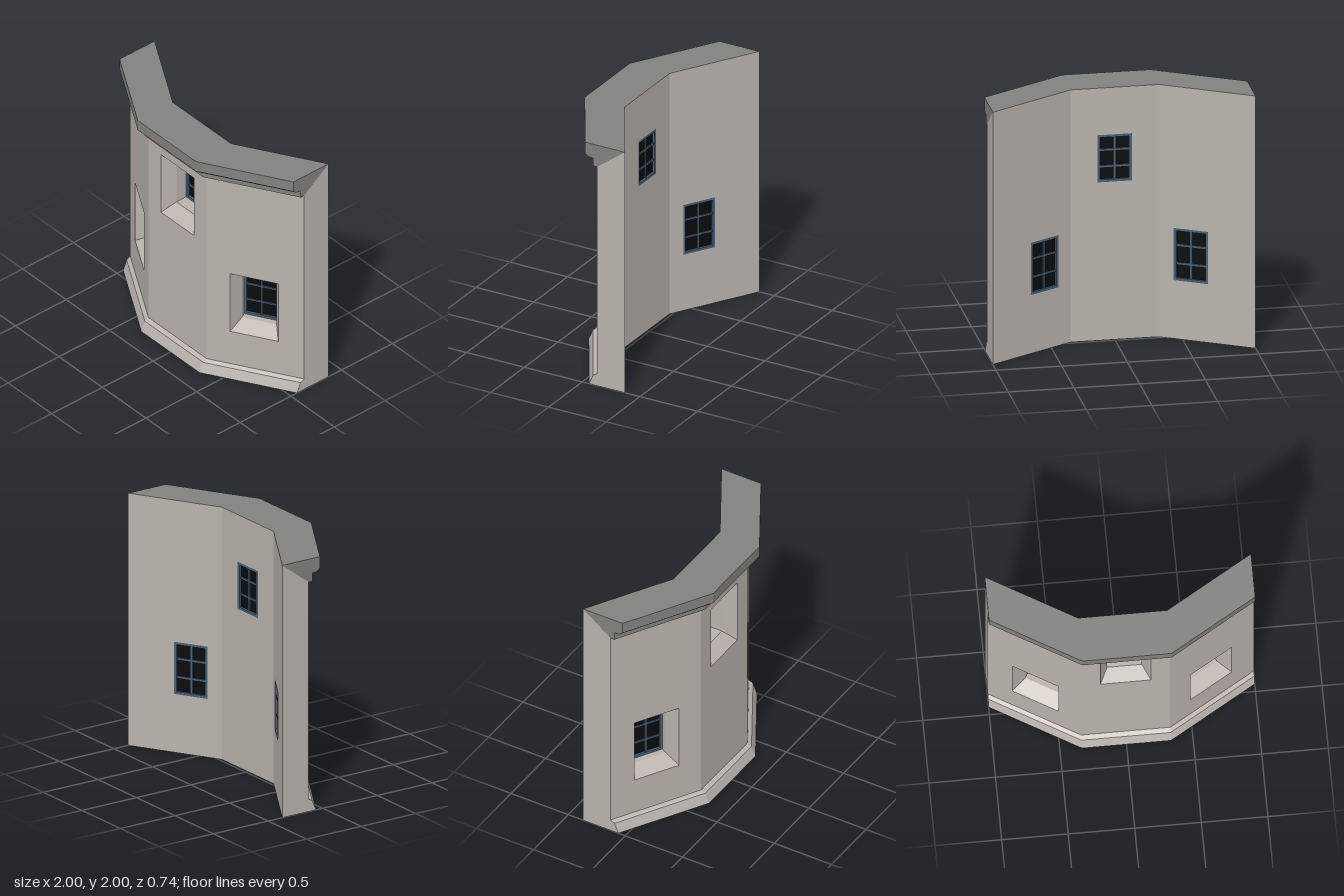
import * as THREE from 'three';

const mat = (name, color) => {
  const m = new THREE.MeshStandardMaterial({ color });
  m.name = name;
  return m;
};

// Plan: three wall panels, the outer two swept back
const KINK = 0.335, DROP = 0.39, FRONT = 0.26, BACK = 0.02;
const STATIONS = [[-1, -DROP], [-KINK, 0], [KINK, 0], [1, -DROP]];
const ANGLE = Math.atan2(DROP, 1 - KINK);

// Flat-shaded geometry from a list of quads; tags choose the material per quad
function quads(list, tags) {
  const pos = [];
  const g = new THREE.BufferGeometry();
  list.forEach(([a, b, c, d], i) => {
    pos.push(...a, ...b, ...c, ...a, ...c, ...d);
    if (tags) g.addGroup(i * 6, 6, tags[i]);
  });
  g.setAttribute('position', new THREE.Float32BufferAttribute(pos, 3));
  g.computeVertexNormals();
  return g;
}

// Sweep a [z, y] profile, listed from top to bottom, along the plan
function sweep(profile) {
  const list = [];
  for (let i = 0; i < STATIONS.length - 1; i++) {
    for (let j = 0; j < profile.length - 1; j++) {
      const p = (s, k) => [STATIONS[s][0], profile[k][1], profile[k][0] + STATIONS[s][1]];
      list.push([p(i, j + 1), p(i + 1, j + 1), p(i + 1, j), p(i, j)]);
    }
  }
  return quads(list);
}

// Flat end face at x = side, from a closed [z, y] profile
function endCap(profile, side) {
  const pts = profile.map(([z, y]) => new THREE.Vector2(-side * z, y));
  const g = new THREE.ShapeGeometry(new THREE.Shape(pts));
  g.rotateY(side * Math.PI / 2);
  return g.translate(side, 0, -DROP);
}

const rect = (cx, cy, hw, hh) =>
  [[cx - hw, cy - hh], [cx + hw, cy - hh], [cx + hw, cy + hh], [cx - hw, cy + hh]];
const toVec = pts => pts.map(p => new THREE.Vector2(...p));

// Inward-facing sides of an opening between two rectangles
function reveal(a, za, b, zb, topTag) {
  const list = a.map((_, i) => {
    const n = (i + 1) % 4;
    return [[...a[i], za], [...a[n], za], [...b[n], zb], [...b[i], zb]];
  });
  return quads(list, [0, 0, topTag, 0]);
}

export function createModel() {
  const stone = mat('pale stone', 0xbab3ad);
  const trim = mat('grey cornice', 0x81827f);
  const blue = mat('blue frame', 0x46627c);
  const black = mat('dark glass', 0x0b0b0b);
  const model = new THREE.Group();
  model.name = 'wallSection';

  const add = (parent, name, geometry, material) => {
    const m = new THREE.Mesh(geometry, material);
    m.name = name;
    parent.add(m);
    return m;
  };

  // Plinth and cornice
  const plinth = [[FRONT, 0.098], [0.295, 0.08], [0.33, 0], [BACK, 0]];
  const cornice = [[BACK, 2], [0.365, 2], [0.365, 1.91], [0.335, 1.885],
    [0.295, 1.885], [0.295, 1.82], [FRONT, 1.82]];
  add(model, 'plinth', sweep(plinth), stone);
  add(model, 'cornice', sweep(cornice), trim);
  for (const side of [-1, 1]) {
    add(model, 'wallEnd', endCap([...plinth, [BACK, 2], [FRONT, 1.82]], side), stone);
    add(model, 'corniceEnd', endCap(cornice, side), trim);
  }

  // Window frame with a 2 x 3 grid of panes
  function addWindow(panel, cx, cy, hw, hh, zFront, zBack) {
    const win = new THREE.Group();
    win.name = 'window';
    win.position.set(cx, cy, (zFront + zBack) / 2);
    panel.add(win);
    const depth = zFront - zBack, edge = 0.02, bar = 0.015;
    const box = (name, w, h, d, x, y, m) =>
      add(win, name, new THREE.BoxGeometry(w, h, d), m).position.set(x, y, 0);
    for (const s of [-1, 1]) {
      box('frameSide', edge, hh * 2, depth, s * (hw - edge / 2), 0, blue);
      box('frameRail', (hw - edge) * 2, edge, depth, 0, s * (hh - edge / 2), blue);
      box('glazingBar', (hw - edge) * 2, bar, depth * 0.6, 0, s * hh * 0.35, blue);
    }
    box('mullion', bar, (hh - edge) * 2, depth * 0.6, 0, 0, blue);
    box('glass', (hw - edge) * 2, (hh - edge) * 2, 0.008, 0, 0, black);
  }

  // One wall panel: front and back faces, splayed opening and window
  function addPanel(name, o) {
    const panel = new THREE.Group();
    panel.name = name;
    panel.position.set(o.x, 0, o.z);
    panel.rotation.y = o.angle;
    model.add(panel);
    const cos = Math.cos(o.angle);
    const depth = (FRONT - BACK) * cos;
    const shift = (FRONT - BACK) * Math.sin(o.angle);
    const half = o.halfX / cos;
    const outer = rect(o.cx, o.cy, 0.19, 0.27);
    const inner = rect(o.cx, o.cy, o.hw, o.hh);

    const front = new THREE.Shape(toVec(rect(0, 0.959, half, 0.861)));
    front.holes.push(new THREE.Path(toVec(outer)));
    add(panel, 'frontFace', new THREE.ShapeGeometry(front), stone);

    const flip = pts => pts.map(([x, y]) => [-x, y]);
    const back = new THREE.Shape(toVec(flip(rect(shift, 1, half, 1))));
    back.holes.push(new THREE.Path(toVec(flip(inner))));
    add(panel, 'backFace',
      new THREE.ShapeGeometry(back).rotateY(Math.PI).translate(0, 0, -depth), stone);

    add(panel, 'splayedReveal', reveal(outer, 0, inner, -o.splay, o.blueTop ? 1 : 0), [stone, blue]);
    add(panel, 'innerReveal', reveal(inner, -o.splay, inner, -depth, 0), [stone, blue]);
    addWindow(panel, o.cx, o.cy, o.hw, o.hh, -depth + 0.044, -depth);
  }

  addPanel('centrePanel', {
    x: 0, z: FRONT, angle: 0, halfX: KINK,
    cx: 0, cy: 1.44, hw: 0.13, hh: 0.187, splay: 0.1,
  });
  for (const s of [-1, 1]) {
    addPanel(s > 0 ? 'leftPanel' : 'rightPanel', {
      x: s * (1 + KINK) / 2, z: FRONT - DROP / 2, angle: s * ANGLE, halfX: (1 - KINK) / 2,
      cx: -s * 0.009, cy: 0.67, hw: 0.137, hh: 0.207, splay: 0.115, blueTop: s < 0,
    });
  }
  return model;
}
